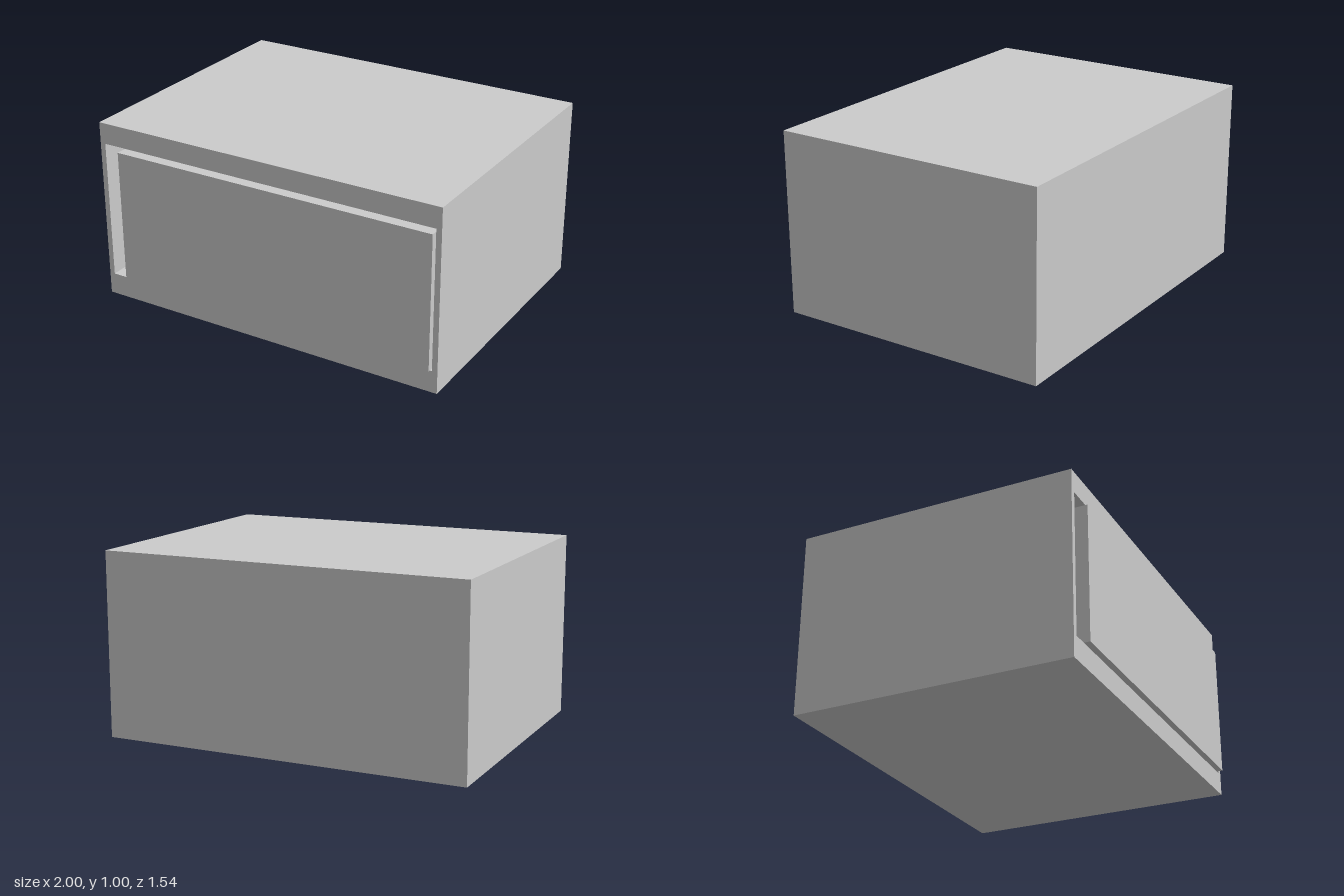
import * as THREE from 'three';

const material = new THREE.MeshStandardMaterial({ color: 0xcccccc, flatShading: true });

// Box given by its lower and upper corners
function block(name, [x0, y0, z0], [x1, y1, z1]) {
  const geometry = new THREE.BoxGeometry(x1 - x0, y1 - y0, z1 - z0);
  geometry.translate((x0 + x1) / 2, (y0 + y1) / 2, (z0 + z1) / 2);
  const mesh = new THREE.Mesh(geometry, material);
  mesh.name = name;
  return mesh;
}

function rectangle(Type, x0, y0, x1, y1) {
  const path = new Type();
  path.moveTo(x0, y0).lineTo(x1, y0).lineTo(x1, y1).lineTo(x0, y1).closePath();
  return path;
}

export function createModel() {
  const model = new THREE.Group();
  model.name = 'drawerCabinet';
  const back = -0.77, front = 0.745, wall = 0.03;

  // Cabinet shell: a rectangular sleeve closed by a back panel
  const outline = rectangle(THREE.Shape, -1, 0, 1, 1);
  outline.holes.push(rectangle(THREE.Path, -0.97, 0.12, 0.97, 0.885));
  const sleeve = new THREE.ExtrudeGeometry(outline, { depth: front - back - wall, bevelEnabled: false });
  sleeve.translate(0, 0, back + wall);
  const shell = new THREE.Mesh(sleeve, material);
  shell.name = 'cabinetShell';
  model.add(shell, block('backPanel', [-1, 0, back], [1, 1, back + wall]));

  // Open-topped drawer, standing slightly proud of the cabinet
  const drawer = new THREE.Group();
  drawer.name = 'drawer';
  const x0 = -0.87, x1 = 0.965, y0 = 0.13, y1 = 0.865;
  const z0 = -0.7, z1 = 0.71;
  drawer.add(
    block('drawerFront', [x0, y0, z1], [x1, y1, 0.77]),
    block('drawerBack', [x0, y0, z0], [x1, y1, z0 + wall]),
    block('drawerRightSide', [x0, y0, z0 + wall], [x0 + wall, y1, z1]),
    block('drawerLeftSide', [x1 - wall, y0, z0 + wall], [x1, y1, z1]),
    block('drawerFloor', [x0 + wall, y0, z0 + wall], [x1 - wall, y0 + wall, z1])
  );
  model.add(drawer);
  return model;
}
